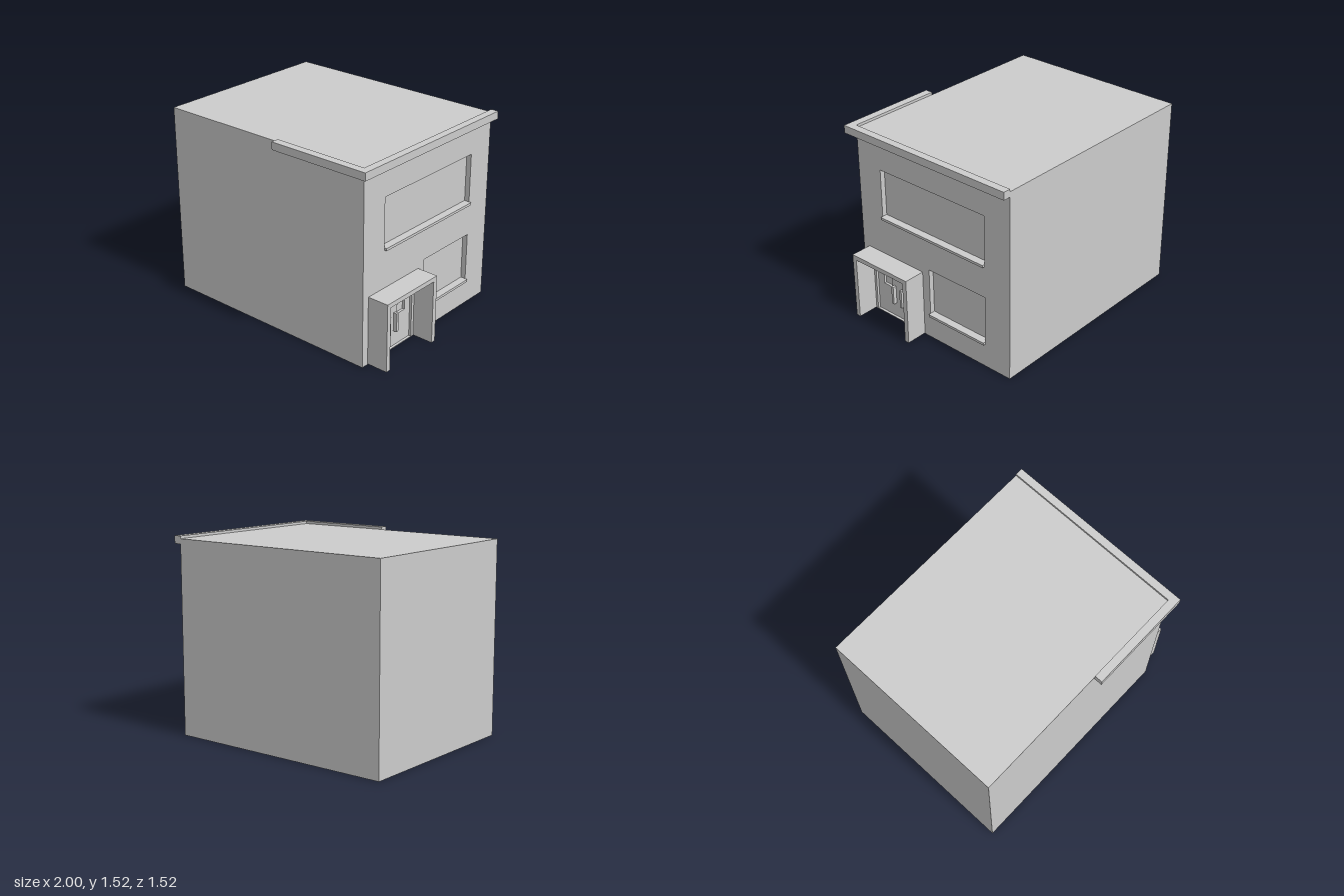
import * as THREE from 'three';

const material = new THREE.MeshStandardMaterial({ color: 0xcccccc, flatShading: true });

function add(parent, name, geometry) {
  const mesh = new THREE.Mesh(geometry, material);
  mesh.name = name;
  parent.add(mesh);
  return mesh;
}

// Box given by its limits on each axis
function box(parent, name, [x0, x1], [y0, y1], [z0, z1]) {
  const geometry = new THREE.BoxGeometry(x1 - x0, y1 - y0, z1 - z0);
  geometry.translate((x0 + x1) / 2, (y0 + y1) / 2, (z0 + z1) / 2);
  return add(parent, name, geometry);
}

// Points are [z, y]; the panel fills x0 to x1, with rectangular holes
function panel(parent, name, points, holes, [x0, x1]) {
  const toShape = ([z, y]) => new THREE.Vector2(-z, y);
  const shape = new THREE.Shape(points.map(toShape));
  for (const [z0, z1, y0, y1] of holes) {
    shape.holes.push(new THREE.Path([[z0, y0], [z1, y0], [z1, y1], [z0, y1]].map(toShape)));
  }
  const geometry = new THREE.ExtrudeGeometry(shape, { depth: x1 - x0, bevelEnabled: false });
  geometry.rotateY(Math.PI / 2).translate(x0, 0, 0);
  return add(parent, name, geometry);
}

export function createModel() {
  const building = new THREE.Group();
  building.name = 'building';

  const back = -0.76, front = 0.695, wall = 0.83, recess = 0.79, base = 0.005, roof = 1.5;
  const windows = [[-0.53, 0.47, 0.835, 1.235], [-0.53, 0.01, 0.19, 0.585]];

  // Main block with a thin ground slab
  box(building, 'groundSlab', [-1, wall], [0, base], [back, front]);
  box(building, 'mainBlock', [-1, recess], [base, roof], [back, front]);

  // Street wall with window openings and a doorway
  panel(building, 'streetWall', [
    [front, base], [0.58, base], [0.58, 0.485], [0.14, 0.485],
    [0.14, base], [back, base], [back, roof], [front, roof],
  ], windows, [recess, wall]);

  for (const [z0, z1, y0] of windows) {
    box(building, 'windowSill', [recess, 0.85], [y0, y0 + 0.02], [z0, z1]);
  }

  // Cornice wrapping the street corner
  const cornice = new THREE.Shape([
    [0.06, front], [wall, front], [wall, back], [0.89, back], [0.89, 0.757], [0.06, 0.757],
  ].map(([x, z]) => new THREE.Vector2(x, -z)));
  const corniceGeometry = new THREE.ExtrudeGeometry(cornice, { depth: 0.06, bevelEnabled: false });
  corniceGeometry.rotateX(-Math.PI / 2).translate(0, 1.46, 0);
  add(building, 'cornice', corniceGeometry);

  // Projecting entrance surround
  panel(building, 'entranceSurround', [
    [0.637, base], [0.6, base], [0.6, 0.505], [0.115, 0.505],
    [0.115, base], [0.077, base], [0.077, 0.54], [0.637, 0.54],
  ], [], [wall, 1]);

  // Double door with recessed panes and upright handles
  panel(building, 'doubleDoor', [[0.58, base], [0.14, base], [0.14, 0.485], [0.58, 0.485]],
    [[0.2, 0.285, 0.25, 0.42], [0.43, 0.515, 0.25, 0.42]], [recess, 0.81]);
  for (const z of [0.315, 0.4]) {
    box(building, 'doorHandle', [0.81, 0.84], [0.125, 0.275], [z - 0.01, z + 0.01]);
  }

  return building;
}
